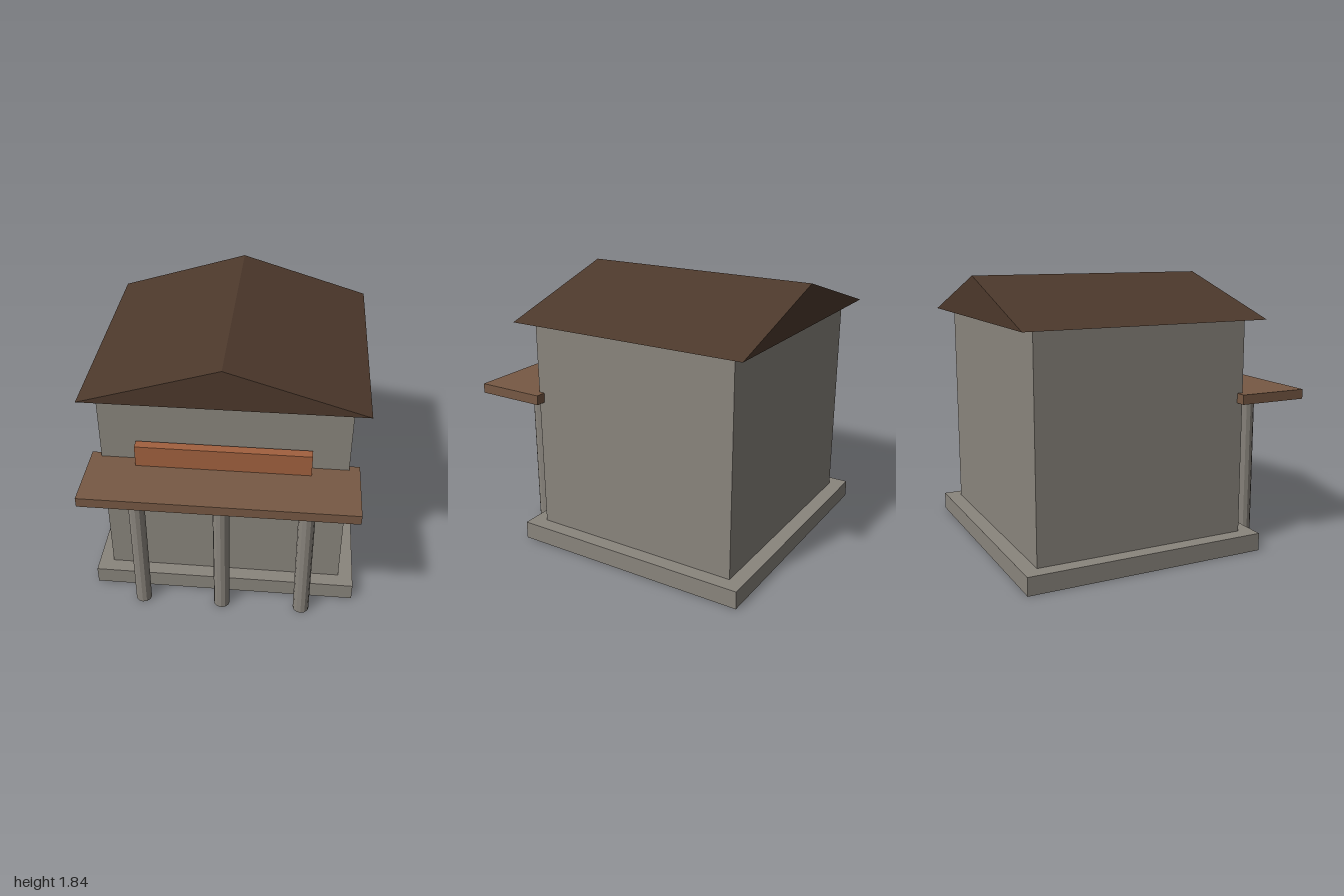
import * as THREE from 'three';

export function createModel() {
  const model = new THREE.Group();
  model.name = 'building';

  const material = (name, color, flatShading = false) => {
    const m = new THREE.MeshStandardMaterial({ color, flatShading });
    m.name = name;
    return m;
  };
  const stone = material('grey stone', 0x8a857d, true);
  const roofBrown = material('dark brown roof', 0x4d392c);
  const wood = material('brown wood', 0x775944);
  const rust = material('rust orange board', 0xa2613f);

  const add = (name, geometry, mat) => {
    const mesh = new THREE.Mesh(geometry, mat);
    mesh.name = name;
    model.add(mesh);
    return mesh;
  };

  // Box centred on x, given its half width and its y and z ranges
  const slab = (name, halfX, y0, y1, z0, z1, mat) =>
    add(name, new THREE.BoxGeometry(halfX * 2, y1 - y0, z1 - z0), mat)
      .position.set(0, (y0 + y1) / 2, (z0 + z1) / 2);

  // Plinth and walls
  slab('plinth', 0.91, 0, 0.12, -1, 0.66, stone);
  slab('walls', 0.81, 0.12, 1.56, -0.9, 0.56, stone);

  // Gabled roof with its ridge running front to back
  const gable = new THREE.Shape([
    new THREE.Vector2(-0.91, 1.56),
    new THREE.Vector2(0.91, 1.56),
    new THREE.Vector2(0, 1.835),
  ]);
  const roof = new THREE.ExtrudeGeometry(gable, { depth: 1.66, bevelEnabled: false });
  add('roof', roof, roofBrown).position.z = -1;

  // Porch canopy with the plain board standing on it
  slab('canopy', 0.88, 1.01, 1.075, 0.52, 1, wood);
  slab('signBoard', 0.57, 1.075, 1.225, 0.575, 0.64, rust);

  // Porch columns
  const column = new THREE.CylinderGeometry(0.055, 0.055, 1.01, 12);
  for (const x of [-0.555, 0, 0.555]) {
    add('column', column, stone).position.set(x, 0.505, 0.775);
  }

  return model;
}
